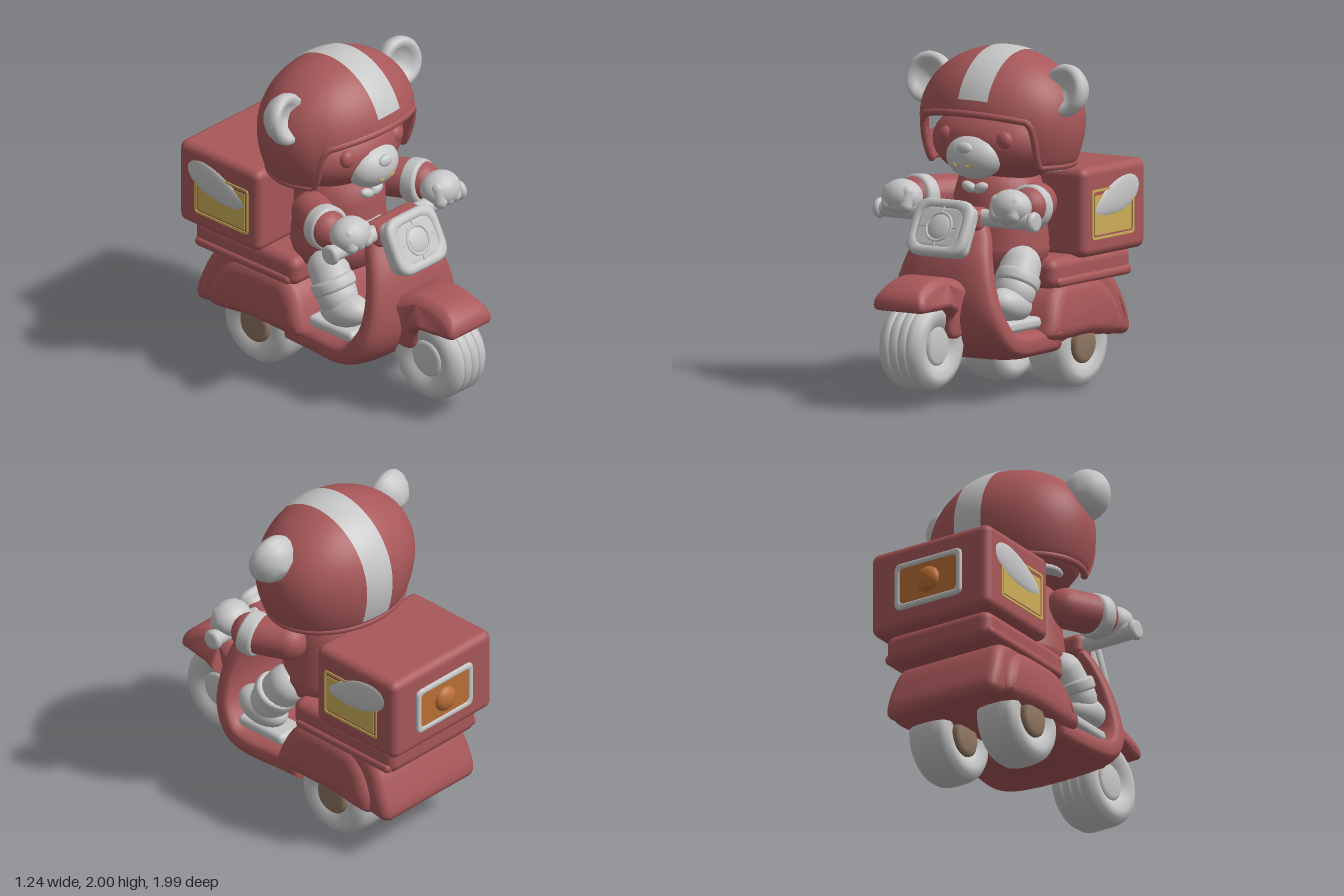
import * as THREE from 'three';
import { mergeVertices, toCreasedNormals } from 'three/addons/utils/BufferGeometryUtils.js';
import { RoundedBoxGeometry } from 'three/addons/geometries/RoundedBoxGeometry.js';

const mat = (name, color) => {
  const m = new THREE.MeshStandardMaterial({ color });
  m.name = name;
  return m;
};
const V = (x, y, z) => new THREE.Vector3(x, y, z);
const smooth = THREE.MathUtils.smoothstep;

// Smooth surface from a rule fn(u, v); outward is du x dv
function surface(nu, nv, fn) {
  const pos = [], idx = [];
  for (let j = 0; j <= nv; j++) for (let i = 0; i <= nu; i++) pos.push(...fn(i / nu, j / nv));
  for (let j = 0; j < nv; j++) for (let i = 0; i < nu; i++) {
    const a = j * (nu + 1) + i, d = a + nu + 1;
    idx.push(a, a + 1, d + 1, a, d + 1, d);
  }
  let g = new THREE.BufferGeometry();
  g.setAttribute('position', new THREE.Float32BufferAttribute(pos, 3));
  g.setIndex(idx);
  g = mergeVertices(g, 1e-5);
  g.computeVertexNormals();
  return g;
}

// Side outline of [z, y] points, swept across the width with soft edges
function sideBody(points, halfWidth, bevel, narrow) {
  const curve = new THREE.CatmullRomCurve3(points.map(([z, y]) => V(z, y, 0)), true, 'centripetal');
  const shape = new THREE.Shape(curve.getPoints(60).slice(0, -1).map(p => new THREE.Vector2(p.x, p.y)));
  const depth = 2 * (halfWidth - bevel);
  const g = new THREE.ExtrudeGeometry(shape, { depth, bevelThickness: bevel, bevelSize: bevel, bevelOffset: -bevel, bevelSegments: 5 });
  g.translate(0, 0, -depth / 2).rotateY(-Math.PI / 2);
  const p = g.attributes.position;
  for (let i = 0; i < p.count; i++) p.setX(i, p.getX(i) * narrow(p.getY(i), p.getZ(i)));
  return toCreasedNormals(g, 0.7);
}

function roundRect(target, w, h, r) {
  const x = w / 2, y = h / 2;
  return target.moveTo(-x + r, -y).lineTo(x - r, -y).quadraticCurveTo(x, -y, x, -y + r).lineTo(x, y - r)
    .quadraticCurveTo(x, y, x - r, y).lineTo(-x + r, y).quadraticCurveTo(-x, y, -x, y - r)
    .lineTo(-x, -y + r).quadraticCurveTo(-x, -y, -x + r, -y);
}
function frameGeo(w, h, t, depth, r, bevel) {
  const s = roundRect(new THREE.Shape(), w, h, r);
  s.holes.push(roundRect(new THREE.Path(), w - 2 * t, h - 2 * t, r * 0.7));
  const g = new THREE.ExtrudeGeometry(s, { depth, curveSegments: 6, bevelEnabled: bevel > 0, bevelSize: bevel, bevelOffset: -bevel, bevelThickness: bevel, bevelSegments: 3 });
  return toCreasedNormals(g, 0.7);
}
const lathe = (pts, n = 36) => new THREE.LatheGeometry(pts.map(p => new THREE.Vector2(...p)), n);

export function createModel() {
  const root = new THREE.Group();
  const red = mat('red', 0xa85759), grey = mat('light grey', 0xc6c6c6), gold = mat('gold', 0xceae58);
  const orange = mat('orange', 0xbb6f36), brown = mat('brown', 0x8f7560);

  const add = (name, geo, m, p = [0, 0, 0], r = [0, 0, 0], s = [1, 1, 1], parent = root) => {
    const mesh = new THREE.Mesh(geo, m);
    mesh.name = name;
    mesh.position.set(...p);
    mesh.rotation.set(...r);
    mesh.scale.set(...s);
    parent.add(mesh);
    return mesh;
  };
  const ball = (name, m, p, s, r) => add(name, new THREE.SphereGeometry(1, 28, 18), m, p, r, s);
  const box = (name, m, size, p, rad, r, parent) => add(name, new RoundedBoxGeometry(...size, 3, rad), m, p, r, [1, 1, 1], parent);
  const limb = (name, m, a, b, r) => {
    const d = V(...b).sub(V(...a)), c = V(...a).add(V(...b)).multiplyScalar(0.5);
    const mesh = add(name, new THREE.CapsuleGeometry(r, d.length(), 6, 20), m, c.toArray());
    mesh.quaternion.setFromUnitVectors(V(0, 1, 0), d.normalize());
  };
  const band = (name, m, p, dir, r, h) => {
    const g = lathe([[0, -h], [r - 0.02, -h], [r - 0.006, -h + 0.006], [r, -h + 0.02], [r, h - 0.02], [r - 0.006, h - 0.006], [r - 0.02, h], [0, h]]);
    add(name, g, m, p).quaternion.setFromUnitVectors(V(0, 1, 0), V(...dir).normalize());
  };

  // Leg shield and floor: one ribbon bent along (half width, y, z)
  const spine = new THREE.CatmullRomCurve3([V(0.2, 1.03, 0.385), V(0.24, 0.96, 0.42), V(0.29, 0.82, 0.485), V(0.345, 0.62, 0.52),
    V(0.385, 0.46, 0.495), V(0.405, 0.35, 0.4), V(0.4, 0.315, 0.26), V(0.38, 0.31, 0.06), V(0.37, 0.31, -0.14)]);
  add('legShield', surface(40, 34, (u, v) => {
    const f = THREE.MathUtils.clamp((v * 34 - 1) / 32, 0, 1), cap = v === 0 || v === 1 ? 0 : 1;
    const p = spine.getPoint(f), tan = spine.getTangent(f), l = Math.hypot(tan.y, tan.z);
    const c = Math.cos(u * 2 * Math.PI), s = Math.sin(u * 2 * Math.PI), k = cap * Math.sign(c) * Math.abs(c) ** 0.5;
    const t = cap * (0.05 + 0.038 * Math.min(1, f * 1.8));
    const n = t * Math.sign(s) * Math.abs(s) ** 0.6 - 0.035 * k * k * (1 - smooth(f, 0.5, 0.75));
    return [p.x * k, p.y + n * tan.z / l, p.z - n * tan.y / l];
  }), red);

  // Front fender with fork cover
  add('frontFender', sideBody([[0.985, 0.58], [0.98, 0.65], [0.9, 0.72], [0.76, 0.75], [0.6, 0.73], [0.5, 0.66], [0.5, 0.42],
    [0.56, 0.385], [0.65, 0.4], [0.69, 0.5], [0.74, 0.57], [0.86, 0.572]], 0.22, 0.04,
  (y, z) => (1 - 0.45 * smooth(y, 0.6, 0.8)) * (1 - 0.2 * smooth(z, 0.72, 0.98)) * (0.72 + 0.28 * smooth(y, 0.5, 0.58))), red);

  // Rear bodywork
  add('rearBody', sideBody([[-0.1, 0.3], [-0.1, 0.6], [-0.3, 0.67], [-0.62, 0.66], [-0.73, 0.6], [-0.81, 0.44], [-0.845, 0.31],
    [-0.82, 0.27], [-0.7, 0.28], [-0.4, 0.32]], 0.38, 0.06, y => 1 - 0.08 * smooth(y, 0.4, 0.66)), red);
  add('rearFenders', sideBody([[0.02, 0.34], [0, 0.43], [-0.07, 0.57], [-0.15, 0.63], [-0.35, 0.645], [-0.56, 0.62], [-0.66, 0.53],
    [-0.73, 0.35], [-0.71, 0.29], [-0.4, 0.31], [-0.05, 0.31]], 0.415, 0.075, y => 1 - 0.1 * smooth(y, 0.38, 0.65)), red);
  box('seat', red, [0.72, 0.18, 0.8], [0, 0.69, -0.47], 0.06);
  box('seatTrim', red, [0.75, 0.06, 0.74], [0, 0.64, -0.48], 0.028);
  ball('seatFront', red, [0, 0.71, -0.17], [0.33, 0.1, 0.12]);

  // Wheels turn about x; grooves are part of the tyre profile
  const tyre = (r, w, grooves) => {
    const pts = [[r * 0.4, -w * 0.72], [r * 0.52, -w * 0.86], [r * 0.7, -w], [r * 0.86, -w * 0.92], [r * 0.96, -w * 0.68]];
    grooves.forEach(g => pts.push([r * 0.985, g - 0.012], [r * 0.93, g - 0.004], [r * 0.93, g + 0.004], [r * 0.985, g + 0.012]));
    if (!grooves.length) pts.push([r, -w * 0.3], [r, w * 0.3]);
    pts.push([r * 0.96, w * 0.68], [r * 0.86, w * 0.92], [r * 0.7, w], [r * 0.52, w * 0.86], [r * 0.4, w * 0.72]);
    return lathe(pts, 48).rotateZ(Math.PI / 2);
  };
  const hub = (r, w) => lathe([[0, -w], [r * 0.8, -w], [r, -w * 0.85], [r, w * 0.85], [r * 0.8, w], [0, w]]).rotateZ(Math.PI / 2);
  add('frontTyre', tyre(0.262, 0.15, [-0.06, 0, 0.06]), grey, [0, 0.355, 0.74]);
  add('frontHub', hub(0.115, 0.13), grey, [0, 0.355, 0.74]);

  // Headlight, tilted back, on the steering cover
  const lamp = new THREE.Group();
  lamp.name = 'headlight';
  lamp.position.set(0, 0.995, 0.515);
  lamp.rotation.x = -0.47;
  root.add(lamp);
  box('lampHousing', grey, [0.38, 0.32, 0.13], [0, 0, -0.01], 0.06, [0, 0, 0], lamp);
  add('lampRim', frameGeo(0.41, 0.35, 0.065, 0.01, 0.11, 0.028), grey, [0, 0, 0.025], [0, 0, 0], [1, 1, 1], lamp);
  add('lampLens', new THREE.SphereGeometry(0.08, 28, 16), grey, [0, 0, 0.045], [0, 0, 0], [1, 1, 0.3], lamp);
  add('lampRing', new THREE.TorusGeometry(0.085, 0.008, 8, 32), grey, [0, 0, 0.054], [0, 0, 0], [1, 1, 1], lamp);
  for (let i = 0; i < 4; i++) {
    const a = i * Math.PI / 2;
    box('lampRib', grey, [0.05, 0.01, 0.02], [0.11 * Math.cos(a), 0.1 * Math.sin(a), 0.05], 0.004, [0, 0, a], lamp);
  }
  box('steeringCover', red, [0.4, 0.14, 0.15], [0, 1.05, 0.38], 0.045);

  // Cargo box with rear lamp
  box('cargoBox', red, [0.82, 0.52, 0.63], [0, 1.02, -0.625], 0.05);
  add('rearLampFrame', frameGeo(0.46, 0.29, 0.035, 0.014, 0.04, 0.012), grey, [0, 1.015, -0.932], [0, Math.PI, 0]);
  add('rearLampPanel', new THREE.BoxGeometry(0.4, 0.23, 0.02), orange, [0, 1.015, -0.94]);
  ball('rearLampKnob', orange, [0, 1.015, -0.95], [0.078, 0.078, 0.045]);

  // Rider's body
  add('torso', lathe([[0, 0.68], [0.2, 0.69], [0.27, 0.74], [0.295, 0.83], [0.285, 0.85], [0.29, 0.88], [0.275, 1.0], [0.27, 1.14], [0.24, 1.24], [0.17, 1.31], [0, 1.33]]),
    red, [0, 0, -0.05], [0, 0, 0], [1, 1, 0.95]);
  box('bib', grey, [0.16, 0.12, 0.06], [0, 0.97, 0.215], 0.025);
  add('neckStrap', lathe([[0, -0.015], [0.35, -0.015], [0.36, 0], [0.35, 0.015], [0, 0.015]]), grey, [0, 1.3, -0.14], [-0.07, 0, 0], [1, 1, 0.62]);

  // Face
  ball('head', red, [0, 1.45, -0.05], [0.42, 0.235, 0.31]);
  ball('muzzle', grey, [0, 1.385, 0.2], [0.18, 0.132, 0.13]);
  ball('nose', grey, [0, 1.44, 0.305], [0.054, 0.038, 0.028]);

  // Helmet: a thick shell whose lower edge rises over the face
  const prof = y => {
    const d = y - 1.58;
    return d > 0 ? Math.sqrt(Math.max(0, 1 - (d / 0.415) ** 2)) : 1 - 0.13 * (d / 0.26) ** 2;
  };
  const edgeAt = phi => {
    const deg = Math.abs(THREE.MathUtils.radToDeg(Math.atan2(Math.sin(phi), Math.cos(phi))));
    return 1.645 - 0.05 * (Math.min(deg, 52) / 52) ** 2 - 0.26 * smooth(deg, 46, 60);
  };
  const shell = (phi, y, k) => [0.51 * k * Math.sin(phi), y, -0.08 + 0.4 * k * Math.cos(phi)];
  add('helmet', surface(96, 32, (u, v) => {
    const phi = -2 * Math.PI * u, edge = edgeAt(phi), t = Math.max(0, (v - 0.75) / 0.25);
    if (t === 0) {
      const y = edge + (1.995 - edge) * Math.cos(v / 0.75 * Math.PI / 2);
      return shell(phi, y, prof(y));
    }
    const y = edge + 0.22 * Math.max(0, t - 0.3);
    return shell(phi, y, prof(y) * (1 - 0.09 * Math.min(1, t * 3)));
  }), red);
  const rim = Array.from({ length: 96 }, (_, i) => {
    const phi = i / 48 * Math.PI, y = edgeAt(phi);
    return V(...shell(phi, y, prof(y) * 0.97));
  });
  add('helmetRim', new THREE.TubeGeometry(new THREE.CatmullRomCurve3(rim, true), 160, 0.022, 10, true), red);
  add('helmetStripe', surface(8, 48, (u, v) => {
    const x = -0.05 + 0.195 * u, k = Math.sqrt(1 - (x / 0.51) ** 2), a = 1.22 - v * 3.5;
    if (a > -Math.PI / 2) return [x, 1.58 + 0.421 * k * Math.cos(a), -0.08 + 0.407 * k * Math.sin(a)];
    const y = 1.58 + 0.3 * (a + Math.PI / 2);
    return [x, y, -0.08 - 0.407 * Math.sqrt(prof(y) ** 2 - (x / 0.51) ** 2)];
  }), grey);

  const earGeo = lathe([[0, -0.12], [0.07, -0.105], [0.12, -0.06], [0.146, -0.01], [0.148, 0.025], [0.135, 0.05],
    [0.11, 0.054], [0.085, 0.035], [0.05, 0.008], [0, 0]]).rotateX(Math.PI / 2);
  const rearTyre = tyre(0.257, 0.135, []), rearHub = hub(0.112, 0.138);
  const windowFrame = frameGeo(0.42, 0.29, 0.014, 0.008, 0.02, 0);
  // Leaf widens toward its rear end
  const leafGeo = surface(28, 18, (u, v) => {
    const a = 2 * Math.PI * u, z = -Math.cos(v * Math.PI), r = Math.sin(v * Math.PI);
    return [0.022 * r * Math.cos(a), 0.095 * r * Math.sin(a) * (1 - 0.25 * z), 0.235 * z];
  });

  for (const s of [1, -1]) {
    add('rearTyre', rearTyre, grey, [s * 0.235, 0.257, -0.39]);
    add('rearHub', rearHub, brown, [s * 0.235, 0.257, -0.39]);

    // Cargo box window and leaf ornament
    add('windowFrame', windowFrame, gold, [s * 0.408, 1.005, -0.595], [0, s * Math.PI / 2, 0]);
    add('window', new THREE.BoxGeometry(0.008, 0.23, 0.37), gold, [s * 0.41, 1.0, -0.595]);
    add('leaf', leafGeo, grey, [s * 0.406, 1.085, -0.635], [0.27, 0, 0]);

    // Ears, eyes, mouth
    add('ear', earGeo, grey, [s * 0.475, 1.775, -0.035], [-0.2, -s * 0.12, 0], [1, 1.03, 1]);
    ball('eye', red, [s * 0.2, 1.49, 0.195], [0.055, 0.055, 0.04]);
    const smile = new THREE.QuadraticBezierCurve3(V(s * 0.022, 1.345, 0.324), V(s * 0.055, 1.325, 0.32), V(s * 0.07, 1.362, 0.317));
    add('mouth', new THREE.TubeGeometry(smile, 10, 0.005, 6), gold);
    ball('collarKnot', grey, [s * 0.04, 1.205, 0.2], [0.05, 0.03, 0.03], [0, 0, s * 0.4]);

    // Arms, cuffs, hands on the grips
    limb('sleeve', red, [s * 0.3, 1.12, 0.01], [s * 0.395, 1.125, 0.21], 0.118);
    band('cuff', grey, [s * 0.385, 1.12, 0.2], [s * 0.2, 0.12, 1], 0.132, 0.05);
    ball('hand', grey, [s * 0.38, 1.14, 0.385], [0.125, 0.105, 0.11]);
    for (let i = 0; i < 3; i++) limb('finger', grey, [s * (0.315 + i * 0.06), 1.175, 0.425], [s * (0.315 + i * 0.06), 1.1, 0.445], 0.042);
    limb('grip', grey, [s * 0.15, 1.065, 0.38], [s * 0.5, 1.065, 0.38], 0.05);
    band('gripEnd', grey, [s * 0.535, 1.065, 0.38], [1, 0, 0], 0.06, 0.024);

    // Legs and feet
    limb('leg', grey, [s * 0.235, 0.755, 0.08], [s * 0.265, 0.62, 0.18], 0.12);
    band('trouserCuff', grey, [s * 0.26, 0.68, 0.145], [0, -0.8, 0.5], 0.132, 0.04);
    ball('shoe', grey, [s * 0.265, 0.55, 0.24], [0.115, 0.1, 0.17], [-0.22, 0, 0]);
    box('footRest', grey, [0.2, 0.07, 0.35], [s * 0.25, 0.43, 0.195], 0.03);
  }
  return root;
}
